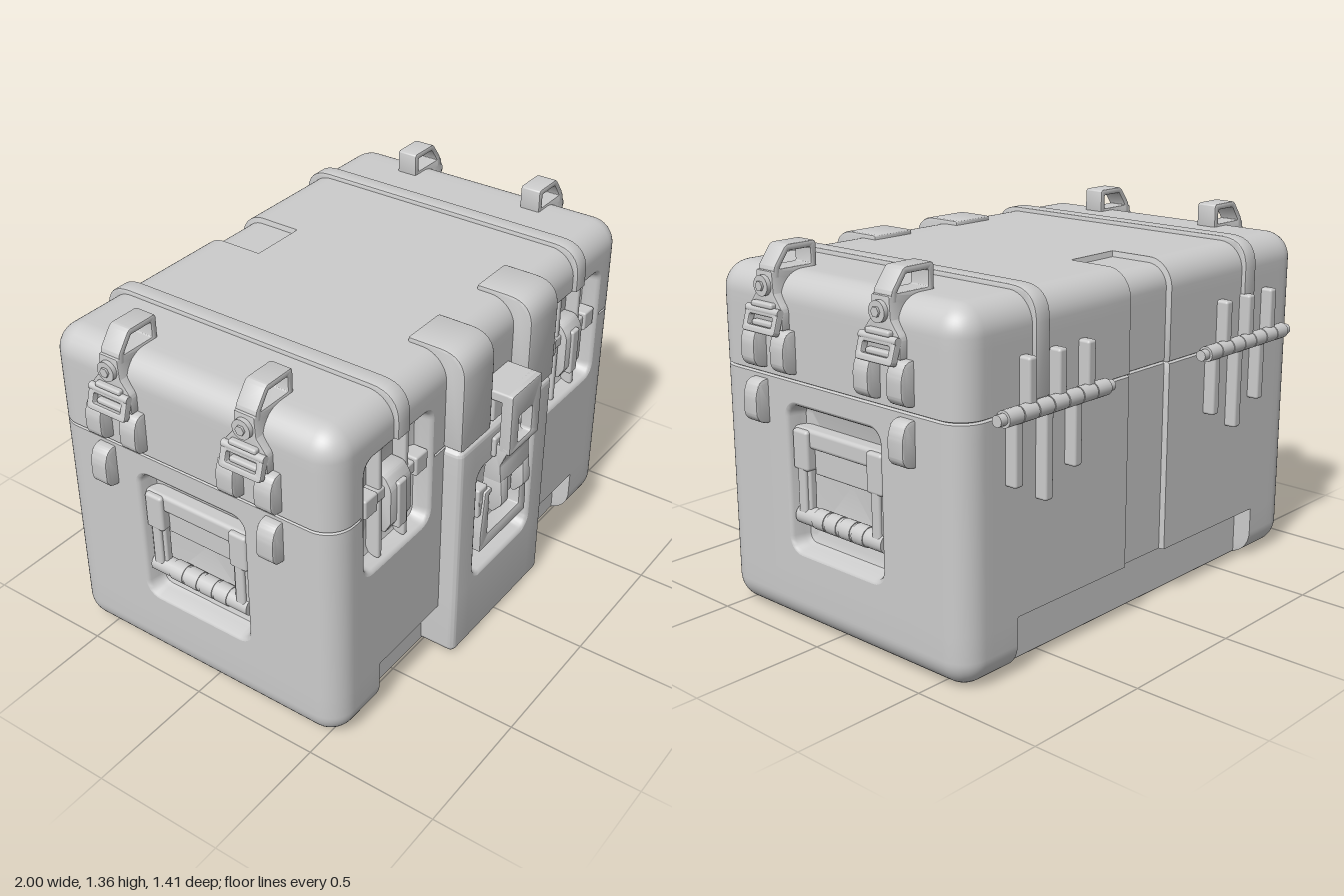
import * as THREE from 'three';
import { toCreasedNormals } from 'three/addons/utils/BufferGeometryUtils.js';
import { RoundedBoxGeometry } from 'three/addons/geometries/RoundedBoxGeometry.js';

const mat = new THREE.MeshStandardMaterial({ color: 0xcccccc });
const ZC = -0.0375; // middle of the case body in z

function add(parent, name, geo, x = 0, y = 0, z = 0) {
  const m = new THREE.Mesh(geo, mat);
  m.name = name;
  m.position.set(x, y, z);
  parent.add(m);
  return m;
}
function group(parent, name, x = 0, y = 0, z = 0) {
  const g = new THREE.Group();
  g.name = name;
  g.position.set(x, y, z);
  parent.add(g);
  return g;
}
// rounded box given by its ranges
function box(parent, name, [x0, x1], [y0, y1], [z0, z1], r = 0.008) {
  return add(parent, name, new RoundedBoxGeometry(x1 - x0, y1 - y0, z1 - z0, 2, r),
    (x0 + x1) / 2, (y0 + y1) / 2, (z0 + z1) / 2);
}
function rod(parent, name, axis, r, len, x, y, z, sides = 20) {
  const g = new THREE.CylinderGeometry(r, r, len, sides);
  if (axis === 'x') g.rotateZ(Math.PI / 2);
  if (axis === 'z') g.rotateX(Math.PI / 2);
  return add(parent, name, g, x, y, z);
}
// polygon with rounded corners; a third number per point is its radius
function poly(pts, T = THREE.Shape) {
  const s = new T();
  pts.forEach(([x, y, r = 0.006], i) => {
    const p = new THREE.Vector2(x, y);
    const toward = (q) => p.clone().add(new THREE.Vector2(q[0] - x, q[1] - y).setLength(r));
    const a = toward(pts[(i + pts.length - 1) % pts.length]), b = toward(pts[(i + 1) % pts.length]);
    if (i) s.lineTo(a.x, a.y); else s.moveTo(a.x, a.y);
    s.quadraticCurveTo(x, y, b.x, b.y);
  });
  s.closePath();
  return s;
}
const rect = (x0, x1, y0, y1, r) => [[x0, y0, r], [x1, y0, r], [x1, y1, r], [x0, y1, r]];
// extrude along z, centred; along 'x' the shape is read as (z, y)
function extrude(pts, width, axis = 'z', hole = null, bevel = 0.005) {
  const s = poly(pts);
  if (hole) s.holes.push(poly(hole, THREE.Path));
  const g = new THREE.ExtrudeGeometry(s, {
    depth: width - 2 * bevel, bevelThickness: bevel, bevelSize: bevel, bevelOffset: -bevel, bevelSegments: 2, curveSegments: 8,
  });
  g.translate(0, 0, bevel - width / 2);
  if (axis === 'x') g.rotateY(-Math.PI / 2);
  return toCreasedNormals(g, 0.6);
}

// rounded shell on an uneven grid: extra grid lines, a vertex rule and rectangular openings
function shell(min, max, r, extra, holes, rule) {
  const lines = [0, 1, 2].map((k) => {
    const t = [1, 0.767, 0.577, 0.414, 0.268, 0.132, 0].map((v) => v * r);
    return [...t.map((v) => min[k] + r - v), ...extra[k], ...t.map((v) => max[k] - r + v)].sort((a, b) => a - b);
  });
  const n = lines.map((l) => l.length - 1);
  const geo = new THREE.BoxGeometry(1, 1, 1, ...n);
  const pos = geo.attributes.position;
  for (let i = 0; i < pos.count; i++) {
    const c = [0, 1, 2].map((k) => lines[k][Math.round((pos.getComponent(i, k) + 0.5) * n[k])]);
    const inner = new THREE.Vector3(...c.map((v, k) => Math.min(Math.max(v, min[k] + r), max[k] - r)));
    const normal = new THREE.Vector3(...c).sub(inner).normalize();
    const p = inner.addScaledVector(normal, r);
    if (rule) rule(p, normal, c);
    pos.setXYZ(i, p.x, p.y, p.z);
  }
  const idx = geo.index.array, keep = [];
  for (let i = 0; i < idx.length; i += 3) {
    const m = [0, 1, 2].map((k) => (pos.getComponent(idx[i], k) + pos.getComponent(idx[i + 1], k) + pos.getComponent(idx[i + 2], k)) / 3);
    const open = holes.some(([k, plane, a, a0, a1, y0, y1]) => Math.abs(m[k] - plane) < 0.012
      && m[a] > a0 && m[a] < a1 && m[1] > y0 && m[1] < y1);
    if (!open) keep.push(idx[i], idx[i + 1], idx[i + 2]);
  }
  geo.setIndex(keep);
  geo.deleteAttribute('uv');
  geo.deleteAttribute('normal');
  return toCreasedNormals(geo, 0.6);
}

// sunken tray facing +z, with the flat rim that fills its rectangular opening
const RIM = 0.01;
function recess(parent, name, w, h, depth, x, y, z, turn = 0) {
  const R = 0.06, steps = 7;
  const loop = (inset) => {
    const pts = [];
    for (let q = 0; q < 4; q++) for (let i = 0; i <= steps; i++) {
      const a = (q + i / steps) * Math.PI / 2;
      const sx = q === 0 || q === 3 ? 1 : -1, sy = q < 2 ? 1 : -1;
      pts.push(new THREE.Vector2(sx * (w / 2 - R) + Math.cos(a) * (R - inset), sy * (h / 2 - R) + Math.sin(a) * (R - inset)));
    }
    return pts;
  };
  const rings = [[0, 0], [0.008, -0.003], [0.014, -0.012], [0.02, 0.03 - depth], [0.028, 0.01 - depth], [0.05, -depth]];
  const n = 4 * (steps + 1), v = [], idx = [];
  for (const [inset, d] of rings) loop(inset).forEach((p) => v.push(p.x, p.y, d));
  v.push(0, 0, -depth);
  for (let k = 0; k < rings.length; k++) for (let i = 0; i < n; i++) {
    const a = k * n + i, b = k * n + (i + 1) % n;
    if (k === rings.length - 1) idx.push(a, b, rings.length * n);
    else idx.push(a, b, b + n, a, b + n, a + n);
  }
  const geo = new THREE.BufferGeometry();
  geo.setAttribute('position', new THREE.Float32BufferAttribute(v, 3));
  geo.setIndex(idx);
  const g = group(parent, name, x, y, z);
  g.rotation.y = turn;
  add(g, name + 'Tray', toCreasedNormals(geo, 0.7));
  const W = w / 2 + RIM, H = h / 2 + RIM;
  const rim = new THREE.Shape([[-W, -H], [W, -H], [W, H], [-W, H]].map((p) => new THREE.Vector2(...p)));
  rim.holes.push(new THREE.Path(loop(0)));
  add(g, name + 'Rim', new THREE.ShapeGeometry(rim));
}

// lashing buckle on the upper side edge
function buckle(parent, z) {
  const g = group(parent, 'lashingBuckle', 0, 0, z);
  add(g, 'buckleLoop', extrude([[0.765, 1.24], [0.95, 1.16], [0.95, 1.285, 0.015], [0.895, 1.358, 0.015], [0.765, 1.358, 0.015]], 0.083, 'z',
    [[0.79, 1.28], [0.925, 1.28], [0.885, 1.335], [0.79, 1.335]]));
  add(g, 'bucklePlate', extrude([[-0.085, 1.08], [0.085, 1.08], [0.085, 1.15, 0.015], [0.045, 1.2], [0.04, 1.275], [-0.04, 1.275], [-0.045, 1.2], [-0.085, 1.15, 0.015]], 0.07, 'x'), 0.925);
  rod(g, 'screwHead', 'x', 0.036, 0.03, 0.962, 1.225, 0);
  rod(g, 'screwHex', 'x', 0.018, 0.03, 0.97, 1.225, 0, 6);
  rod(g, 'bucklePin', 'z', 0.014, 0.17, 0.966, 1.14, 0);
  const f = add(g, 'buckleFrame', extrude(rect(-0.085, 0.085, -0.045, 0.045, 0.015), 0.026, 'x', rect(-0.06, 0.06, -0.02, 0.015)), 0.974, 1.107);
  f.rotation.z = 0.3;
  for (const y of [1.16, 1.095]) box(g, 'buckleBar', [0.94, 0.98], [y - 0.01, y + 0.01], [-0.055, 0.055]);
}

function sideFittings(parent, turn) {
  const g = group(parent, 'sideFittings', 0, 0, ZC);
  g.rotation.y = turn;
  recess(g, 'handleRecess', 0.485, 0.555, 0.08, 0.93, 0.5525, 0, Math.PI / 2);
  const h = group(g, 'carryHandle');
  box(h, 'handleTopBar', [0.84, 0.905], [0.665, 0.735], [-0.236, 0.236], 0.015);
  box(h, 'handlePlate', [0.84, 0.885], [0.57, 0.7], [-0.15, 0.15]);
  for (const s of [-1, 1]) {
    const c = s * 0.185;
    box(h, 'handlePivot', [0.84, 0.92], [0.585, 0.73], [c - 0.038, c + 0.038], 0.012);
    box(h, 'handleArm', [0.875, 0.905], [0.39, 0.62], [c - 0.033, c + 0.033]);
    box(h, 'armRib', [0.89, 0.918], [0.415, 0.6], [c - 0.02, c + 0.02], 0.01);
  }
  rod(h, 'handleGrip', 'z', 0.034, 0.43, 0.89, 0.415, 0);
  for (const z of [-0.1, -0.035, 0.035, 0.1]) rod(h, 'gripRing', 'z', 0.037, 0.055, 0.89, 0.415, z);
  for (const s of [-1, 1]) {
    buckle(g, s * 0.283);
    for (const [z, y0, y1] of [[0.361, 0.93, 1.08], [0.207, 0.93, 1.08], [0.361, 0.73, 0.887]])
      add(g, 'sideBumper', extrude([[0.9, y0], [0.955, y0, 0.02], [0.985, y0 + 0.025, 0.02], [0.985, y1 - 0.04, 0.03], [0.96, y1, 0.02], [0.9, y1]], 0.07), 0, 0, s * z);
  }
}

function frontLatch(parent, x) {
  const g = group(parent, 'frontLatch', x);
  recess(g, 'latchRecess', 0.405, 0.485, 0.07, 0, 0.8775, 0.565);
  for (const s of [-1, 1]) {
    box(g, 'latchRib', [s * 0.075 - 0.012, s * 0.075 + 0.012], [0.65, 1.105], [0.48, 0.545]);
    box(g, 'latchEnd', [s * 0.145 - 0.035, s * 0.145 + 0.035], [0.875, 0.95], [0.48, 0.56]);
  }
  box(g, 'latchCrossbar', [-0.175, 0.175], [0.89, 0.937], [0.48, 0.55]);
  add(g, 'latchLever', extrude([[0.49, 0.76], [0.55, 0.745], [0.575, 0.79], [0.575, 0.93, 0.02], [0.545, 0.975, 0.02], [0.49, 0.975]], 0.12, 'x'));
  box(g, 'leverRidge', [-0.025, 0.025], [0.755, 0.94], [0.55, 0.584]);
  // thin band over the lid
  add(g, 'lidBand', extrude([[0.583, 1.115], [0.583, 1.287, 0.11], [-0.657, 1.287, 0.11], [-0.657, 0.93], [-0.6, 0.93], [-0.6, 1.15], [0.5, 1.15], [0.5, 1.115]], 0.066, 'x'));
}

function hinge(parent, x) {
  const g = group(parent, 'hinge', x, 0.908, -0.674);
  rod(g, 'hingePin', 'x', 0.02, 0.56, 0, 0, 0);
  for (let i = 0; i < 7; i++) rod(g, 'hingeKnuckle', 'x', 0.029, 0.068, (i - 3) * 0.072, 0, 0);
  for (const i of [-1, 0, 1]) {
    box(g, 'upperLeaf', [i * 0.144 - 0.045, i * 0.144 - 0.005], [-0.01, 0.175], [-0.02 + 0.01, 0.05], 0.01);
    box(g, 'lowerLeaf', [i * 0.144 + 0.02, i * 0.144 + 0.06], [i ? -0.24 : -0.32, 0.01], [-0.01, 0.05], 0.01);
  }
}

export function createModel() {
  const model = new THREE.Group();
  model.name = 'transportCase';

  // case body: lid seam, rear channel and foot notches come from the vertex rule
  const both = (...v) => v.flatMap((a) => [-a, a]);
  const extra = [both(0.11, 0.115, 0.25, 0.3, 0.305, 0.3675, 0.675, 0.68, 0.7925),
    [0.195, 0.2, 0.25, 0.265, 0.625, 0.8, 0.84, 0.9, 0.905, 0.91, 1.13],
    [-0.38, -0.375, ZC - 0.2525, ZC + 0.2525]];
  const holes = [[2, 0.565, 0, -0.25, 0.25, 0.25, 0.8]];
  for (const s of [-1, 1]) {
    const a = s * 0.58;
    holes.push([2, 0.565, 0, a - 0.2125, a + 0.2125, 0.625, 1.13], [0, s * 0.93, 2, ZC - 0.2525, ZC + 0.2525, 0.265, 0.84]);
  }
  add(model, 'caseBody', shell([-0.93, 0, -0.64], [0.93, 1.27, 0.565], 0.1, extra, holes, (p, normal, c) => {
    const ax = Math.abs(c[0]), e = 1e-4;
    if (Math.abs(c[1] - 0.905) < e) p.addScaledVector(normal, -0.01);
    if (ax < 0.11 + e && c[2] < -0.38 + e && c[1] > 0.19) p.addScaledVector(normal, -0.02);
    if (ax < 0.675 + e && c[1] < 0.195 + e) {
      p.z = Math.max(p.z, -0.57);
      if (ax > 0.305 - e) p.z = Math.min(p.z, 0.495);
    }
  }));

  // raised front centre with its recess and the two lid straps
  const y0 = 0.275 - RIM, y1 = 0.775 + RIM, xr = 0.205 + RIM;
  add(model, 'centreBlock', shell([-0.31, 0, 0.4], [0.31, 0.903, 0.635], 0.025, [both(xr), [y0, y1], []], [[2, 0.635, 0, -xr, xr, y0, y1]]));
  recess(model, 'centreRecess', 0.41, 0.5, 0.085, 0, 0.525, 0.635);
  for (const s of [-1, 1])
    add(model, 'lidStrap', extrude([[0.635, 0.908], [0.635, 1.287, 0.1], [0.408, 1.287, 0.01], [0.408, 1.2], [0.48, 0.908]], 0.19, 'x', null, 0.01), s * 0.215);

  // centre hasp
  const hasp = group(model, 'centreHasp');
  box(hasp, 'haspMount', [-0.09, 0.09], [0.91, 1.03], [0.55, 0.625]);
  box(hasp, 'haspFlange', [-0.1, 0.1], [1.005, 1.045], [0.56, 0.69]);
  add(hasp, 'haspPlate', extrude(rect(-0.1, 0.1, 0.8, 1.045, 0.01), 0.045, 'z', rect(-0.045, 0.045, 0.83, 0.94, 0.012)), 0, 0, 0.68);
  add(hasp, 'haspBend', extrude([[0.625, 0.84], [0.7, 0.825], [0.668, 0.745], [0.676, 0.67], [0.6, 0.67], [0.61, 0.78]], 0.2, 'x'));
  for (const s of [-1, 1]) {
    add(hasp, 'haspLeg', extrude([[0.6, 0.68], [0.676, 0.68], [0.685, 0.58, 0.015], [0.645, 0.535, 0.01], [0.6, 0.56]], 0.048, 'x'), s * 0.076);
    box(hasp, 'pivotEar', [s * 0.14 - 0.03, s * 0.14 + 0.03], [0.54, 0.66], [0.545, 0.63]);
  }
  box(hasp, 'haspKeeper', [-0.11, 0.11], [0.78, 0.86], [0.6, 0.65]);
  box(hasp, 'upperPad', [-0.19, 0.19], [0.6, 0.75], [0.53, 0.59], 0.025);
  rod(hasp, 'haspPivot', 'x', 0.022, 0.33, 0, 0.6, 0.61);
  box(hasp, 'innerLever', [-0.045, 0.045], [0.55, 0.665], [0.55, 0.64]);
  add(hasp, 'haspBail', extrude([[-0.16, 0.385], [0.16, 0.385], [0.16, 0.47], [0.14, 0.64], [-0.14, 0.64], [-0.16, 0.47]], 0.06, 'z', rect(-0.11, 0.11, 0.44, 0.62)), 0, 0, 0.61);

  for (const s of [-1, 1]) {
    frontLatch(model, s * 0.58);
    hinge(model, s * 0.535);
    sideFittings(model, s > 0 ? 0 : Math.PI);
  }
  return model;
}
